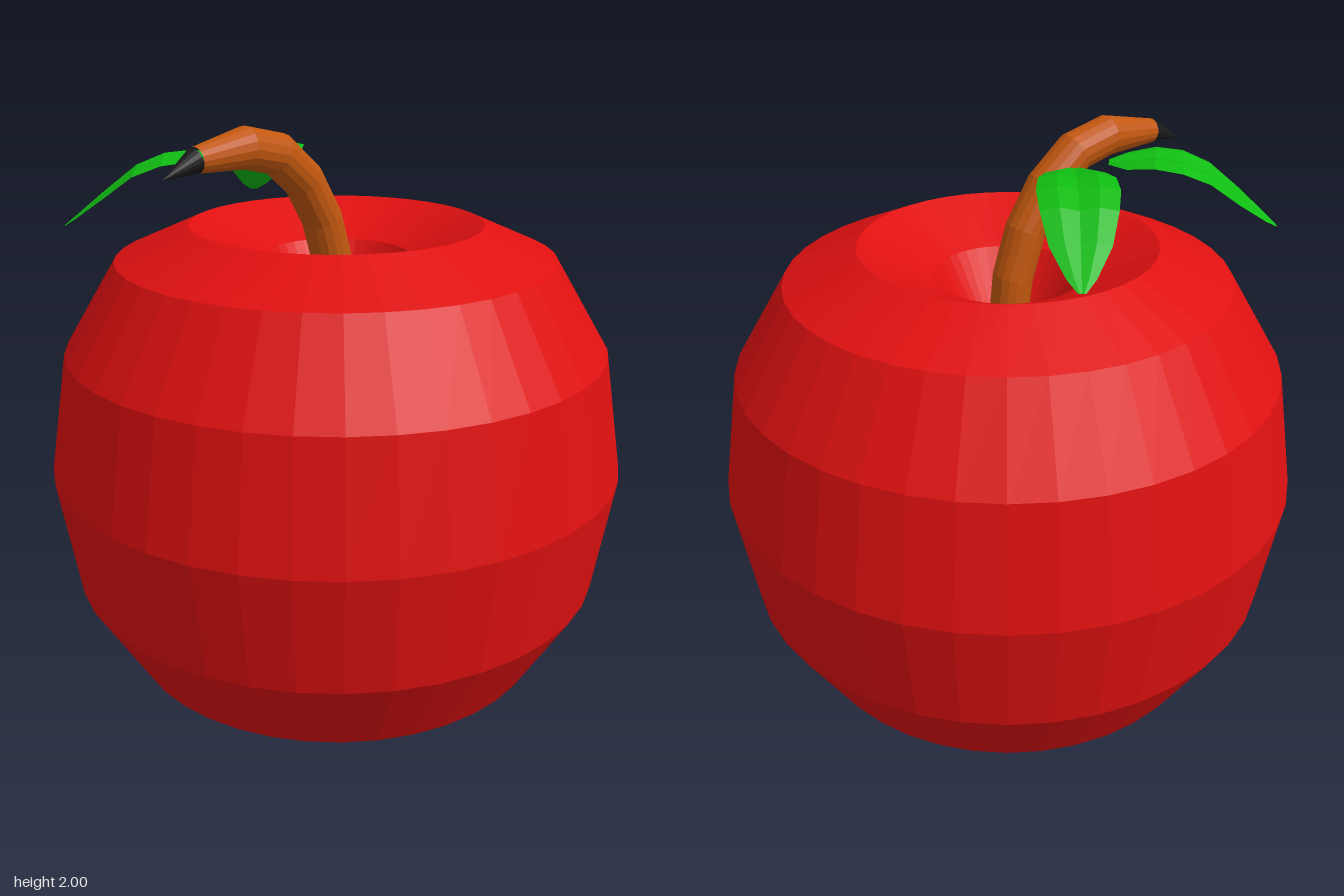
import * as THREE from 'three';

const V = (x, y, z) => new THREE.Vector3(x, y, z);

// Surface through rows of points, each row having the same count
function skin(rows) {
  const cols = rows[0].length, index = [];
  for (let i = 0; i < rows.length - 1; i++) {
    for (let j = 0; j < cols - 1; j++) {
      const a = i * cols + j, b = a + 1, c = a + cols, d = c + 1;
      index.push(a, b, c, b, d, c);
    }
  }
  const geo = new THREE.BufferGeometry().setFromPoints(rows.flat());
  geo.setIndex(index);
  const flat = geo.toNonIndexed();
  flat.computeVertexNormals();
  return flat;
}

// Round tapered sweep along a path in the xy plane; stations are [x, y, radius]
function sweep(stations, sides = 16) {
  const last = stations.length - 1;
  return skin(stations.map(([x, y, r], i) => {
    const p = stations[Math.max(i - 1, 0)], q = stations[Math.min(i + 1, last)];
    const t = V(q[0] - p[0], q[1] - p[1], 0).normalize();
    return Array.from({ length: sides + 1 }, (_, j) => {
      const a = (j / sides) * Math.PI * 2, n = Math.cos(a) * r;
      return V(x - t.y * n, y + t.x * n, Math.sin(a) * r);
    });
  }));
}

// Drooping leaf: stations are [distance, height, half width]
const leafStations = [
  [-0.02, 1.875, 0.03], [0.04, 1.885, 0.095], [0.13, 1.9, 0.122], [0.22, 1.89, 0.13],
  [0.31, 1.855, 0.12], [0.41, 1.78, 0.095], [0.5, 1.71, 0.045], [0.54, 1.68, 0.012],
];
function leaf(x, z, dx, dz) {
  const l = Math.hypot(dx, dz);
  dx /= l; dz /= l;
  // slight crease along the middle, soft fold toward the edges
  const section = [[-1, -0.06], [-0.5, 0.04], [0, -0.06], [0.5, 0.04], [1, -0.06]];
  return skin(leafStations.map(([t, y, w]) => section.map(([s, h]) =>
    V(x + dx * t - dz * s * w, y + h * w, z + dz * t + dx * s * w))));
}

export function createModel() {
  const mat = (name, color, extra = {}) =>
    Object.assign(new THREE.MeshStandardMaterial({ color, flatShading: true, ...extra }), { name });
  const red = mat('red skin', 0xe01010);
  const brown = mat('brown bark', 0xc1570f);
  const black = mat('black tip', 0x1a1a1a);
  const green = mat('leaf green', 0x10bc12, { side: THREE.DoubleSide });

  const group = new THREE.Group();
  group.name = 'apple';
  const add = (name, geo, material) => {
    const mesh = new THREE.Mesh(geo, material);
    mesh.name = name;
    group.add(mesh);
  };

  // Body: closed-centre ring stretched upward, dimpled top and bottom
  const body = new THREE.TorusGeometry(0.495, 0.495, 12, 40);
  body.rotateX(-Math.PI / 2);
  body.scale(1, 0.823 / 0.495, 1);
  body.translate(0, 0.823, 0);
  add('body', body, red);

  // Stem curving over to the right, ending in a pointed tip
  add('stem', sweep([
    [0, 0.9, 0.066], [0, 1.36, 0.066], [-0.02, 1.52, 0.068], [-0.07, 1.67, 0.068],
    [-0.155, 1.805, 0.068], [-0.27, 1.9, 0.068], [-0.405, 1.932, 0.066], [-0.6, 1.915, 0.04],
  ]), brown);
  add('stemTip', sweep([[-0.6, 1.915, 0.04], [-0.73, 1.87, 0]]), black);

  // Two leaves behind the stem
  add('rightLeaf', leaf(-0.36, -0.1, -0.4, -0.37), green);
  add('leftLeaf', leaf(-0.2, -0.09, 0.31, -0.43), green);

  return group;
}
